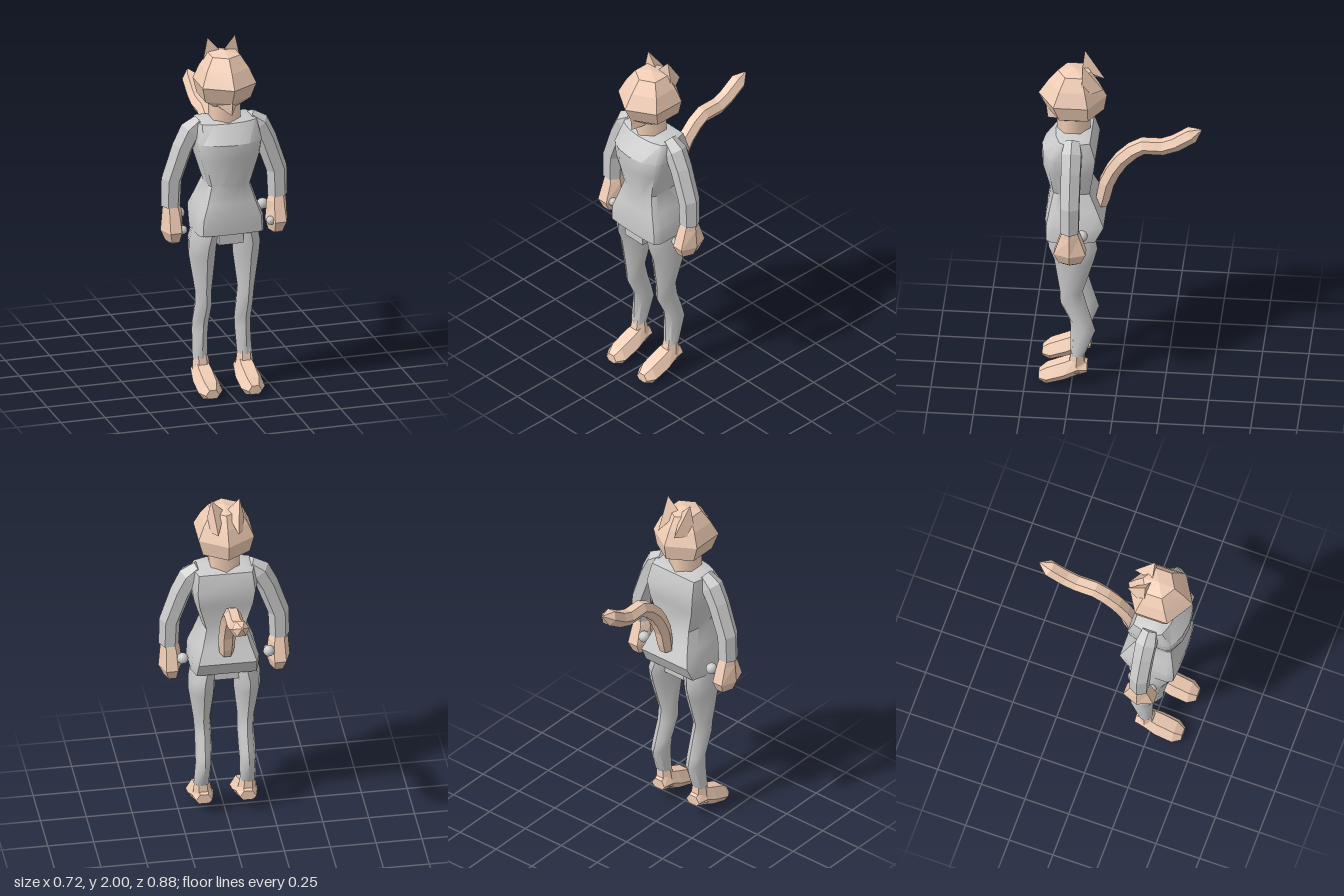
import * as THREE from 'three';
import { toCreasedNormals } from 'three/addons/utils/BufferGeometryUtils.js';

const cloth = new THREE.MeshStandardMaterial({ color: 0xcccccc });
const fur = new THREE.MeshStandardMaterial({ color: 0xf0cdb5 });
const V = (x, y, z) => new THREE.Vector3(x, y, z);

// Closed skin over a list of cross-sections; normals smooth below the crease angle
function loft(rings, crease = 0.1) {
  const tris = [];
  const n = rings[0].length;
  const mid = r => r.reduce((s, p) => s.add(p), V(0, 0, 0)).divideScalar(n);
  const first = mid(rings[0]), end = rings[rings.length - 1], last = mid(end);
  for (let j = 0; j < n; j++) {
    const k = (j + 1) % n;
    for (let i = 0; i < rings.length - 1; i++) {
      const a = rings[i], b = rings[i + 1];
      tris.push([a[j], a[k], b[k]], [a[j], b[k], b[j]]);
    }
    tris.push([first, rings[0][k], rings[0][j]], [last, end[j], end[k]]);
  }
  // turn the faces outward if the sections were wound the other way
  const volume = tris.reduce((s, [a, b, c]) => s + a.clone().cross(b).dot(c), 0);
  const pts = tris.flatMap(([a, b, c]) => (volume < 0 ? [a, c, b] : [a, b, c]));
  return toCreasedNormals(new THREE.BufferGeometry().setFromPoints(pts), crease);
}

// Polygonal section spanned by two axes
function section(center, u, v, n, phase = 0) {
  return Array.from({ length: n }, (_, i) => {
    const a = phase + (i / n) * Math.PI * 2;
    return center.clone().addScaledVector(u, Math.cos(a)).addScaledVector(v, Math.sin(a));
  });
}
const flatRing = (x, y, z, rx, rz, n = 6, phase = 0) =>
  section(V(x, y, z), V(rx, 0, 0), V(0, 0, rz), n, phase);

// Section at right angles to a path; side is the constant axis
function sweep(path, radii, side, n = 6, phase = 0) {
  return path.map((p, i) => {
    const dir = path[Math.min(i + 1, path.length - 1)].clone()
      .sub(path[Math.max(i - 1, 0)]).normalize();
    const across = dir.clone().cross(side).normalize();
    return section(p, across.multiplyScalar(radii[i]), side.clone().multiplyScalar(radii[i]), n, phase);
  });
}

export function createModel() {
  const model = new THREE.Group();
  const add = (name, geometry, material, parent = model) => {
    const mesh = new THREE.Mesh(geometry, material);
    mesh.name = name;
    parent.add(mesh);
    return mesh;
  };

  // Torso: y, half width, front z, back z, front corner inset
  const torso = [
    [0.93, 0.185, 0.395, 0.12, 0.01], [1.02, 0.18, 0.4, 0.075, 0.015],
    [1.1, 0.15, 0.39, 0.11, 0.02], [1.2, 0.118, 0.375, 0.155, 0.025],
    [1.36, 0.165, 0.42, 0.13, 0.05], [1.45, 0.178, 0.42, 0.12, 0.05],
    [1.55, 0.165, 0.345, 0.15, 0.03], [1.565, 0.12, 0.3, 0.19, 0.02],
  ].map(([y, w, f, b, inset]) => [
    [0, f], [0.5 * w, f - inset * 0.25], [0.9 * w, f - inset], [w, f - inset - 0.03],
    [w, b + 0.07], [0.88 * w, b], [-0.88 * w, b], [-w, b + 0.07],
    [-w, f - inset - 0.03], [-0.9 * w, f - inset], [-0.5 * w, f - inset * 0.25],
  ].map(([x, z]) => V(x + 0.005, y, z)));
  add('torso', loft(torso, 0.6), cloth);

  // Crotch joining the legs
  add('crotch', new THREE.BoxGeometry(0.14, 0.09, 0.22), cloth).position.set(0, 0.915, 0.265);

  // Neck and faceted head
  add('neck', new THREE.CylinderGeometry(0.09, 0.09, 0.16, 6).toNonIndexed(), fur)
    .position.set(0, 1.61, 0.25);
  const turn = Math.PI / 2;
  add('head', loft([
    flatRing(0, 1.645, 0.25, 0.09, 0.105, 6, turn),
    flatRing(0, 1.68, 0.24, 0.148, 0.155, 6, turn),
    flatRing(0, 1.77, 0.255, 0.175, 0.185, 6, turn),
    flatRing(0, 1.85, 0.25, 0.138, 0.14, 6, turn),
    flatRing(0, 1.92, 0.245, 0.09, 0.09, 6, turn),
    flatRing(0, 1.94, 0.245, 0.002, 0.002, 6, turn),
  ]), fur);

  // Muzzle tapering to the chin
  add('chin', loft([
    [V(-0.1, 1.68, 0.3), V(0, 1.7, 0.4), V(0.1, 1.68, 0.3)],
    [V(-0.05, 1.64, 0.31), V(0, 1.612, 0.39), V(0.05, 1.64, 0.31)],
  ]), fur);

  // Tail: hexagonal tube with a pointed end
  const tailPath = [
    [1.08, 0.1], [1.13, 0.088], [1.22, 0.07], [1.3, 0.035], [1.37, -0.01], [1.43, -0.07],
    [1.463, -0.125], [1.463, -0.23], [1.49, -0.3], [1.55, -0.39], [1.582, -0.44],
  ].map(([y, z]) => V(0.01, y, z));
  const tailRadii = tailPath.map((_, i) => [0.038, 0.044][i] ?? (i === 10 ? 0.006 : 0.047));
  add('tail', loft(sweep(tailPath, tailRadii, V(1, 0, 0), 6, Math.PI / 2)), fur);

  for (const s of [1, -1]) {
    const side = new THREE.Group();
    side.name = s > 0 ? 'leftSide' : 'rightSide';
    model.add(side);

    // Ear
    add('ear', loft([
      [V(s * 0.115, 1.82, 0.2), V(s * 0.005, 1.92, 0.205), V(s * 0.055, 1.84, 0.085)],
      [V(s * 0.078, 2, 0.195), V(s * 0.076, 2, 0.196), V(s * 0.077, 2, 0.194)],
    ]), fur, side);

    // Sleeve bending at the elbow
    const armPath = [[0.135, 1.545], [0.19, 1.5], [0.235, 1.41], [0.297, 1.23], [0.302, 1.08]]
      .map(([x, y]) => V(s * x, y, 0.245));
    add('sleeve', loft(sweep(armPath, [0.045, 0.063, 0.06, 0.058, 0.055], V(0, 0, 1))), cloth, side);

    // Mitten hand
    add('hand', loft([
      flatRing(s * 0.3, 1.1, 0.245, 0.045, 0.04),
      flatRing(s * 0.295, 1.05, 0.245, 0.055, 0.06),
      flatRing(s * 0.295, 0.945, 0.245, 0.064, 0.1),
      flatRing(s * 0.29, 0.885, 0.245, 0.042, 0.07),
      flatRing(s * 0.29, 0.87, 0.245, 0.025, 0.04),
    ]), fur, side);

    // Small round studs beside the palm
    for (const [x, y, z, r] of [[0.235, 1.01, 0.185, 0.032], [0.248, 0.95, 0.295, 0.025]]) {
      add('palmStud', new THREE.IcosahedronGeometry(r, 1), cloth, side).position.set(s * x, y, z);
    }

    // Trouser leg: y, outer x, inner x, front z, back z
    add('trouserLeg', loft([
      [0.95, 0.18, 0.03, 0.385, 0.13], [0.86, 0.197, 0.05, 0.375, 0.11],
      [0.78, 0.197, 0.05, 0.345, 0.13], [0.58, 0.167, 0.073, 0.315, 0.19],
      [0.5, 0.162, 0.07, 0.312, 0.172], [0.39, 0.165, 0.072, 0.26, 0.14],
      [0.33, 0.165, 0.076, 0.256, 0.122], [0.18, 0.17, 0.082, 0.257, 0.178],
    ].map(([y, o, i, f, b]) =>
      flatRing(s * (o + i) / 2, y, (f + b) / 2, (o - i) / 2, (f - b) / 2, 8)), 0.9), cloth, side);

    // Ankle and paw
    add('ankle', loft([
      flatRing(s * 0.12, 0.08, 0.225, 0.055, 0.058),
      flatRing(s * 0.125, 0.21, 0.217, 0.04, 0.036),
    ]), fur, side);
    add('foot', loft([
      [0.165, 0.045, 0.075, 0.13], [0.22, 0.058, 0.06, 0.165], [0.29, 0.07, 0.03, 0.135],
      [0.385, 0.068, 0, 0.095], [0.428, 0.038, 0.012, 0.06],
    ].map(([z, w, b, t]) => [
      [-0.6, b], [-1, b * 0.6 + t * 0.4], [-0.5, t], [0.5, t], [1, b * 0.6 + t * 0.4], [0.6, b],
    ].map(([x, y]) => V(s * 0.12 + x * w, y, z)))), fur, side);
  }
  return model;
}
